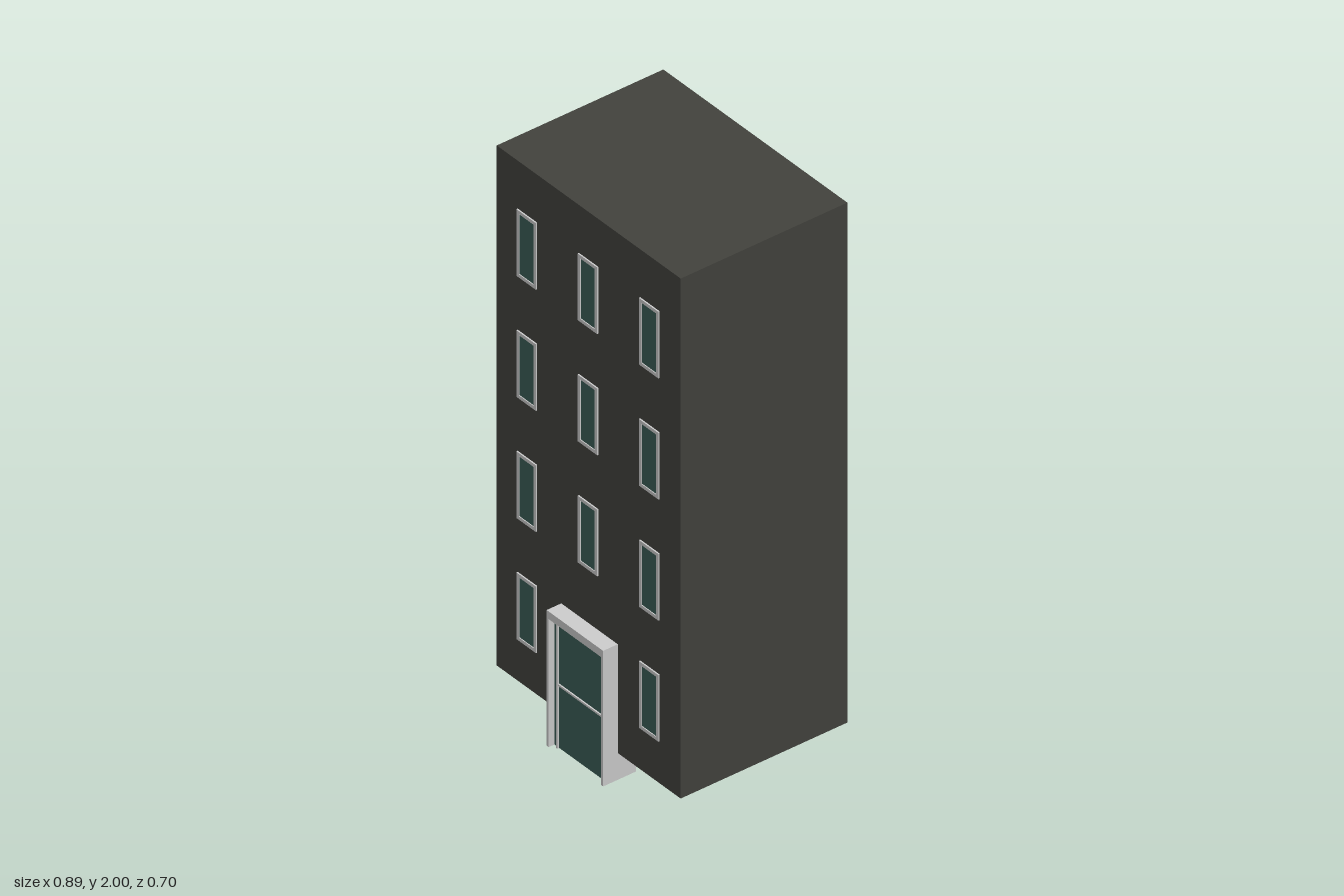
import * as THREE from 'three';

const wallMat = new THREE.MeshStandardMaterial({ color: 0x42423d });
const frameMat = new THREE.MeshStandardMaterial({ color: 0xcccccc });
const glassMat = new THREE.MeshStandardMaterial({ color: 0x3b5d56 });

// Box given by its minimum and maximum corners
function box(name, material, [x0, y0, z0], [x1, y1, z1]) {
  const mesh = new THREE.Mesh(new THREE.BoxGeometry(x1 - x0, y1 - y0, z1 - z0), material);
  mesh.position.set((x0 + x1) / 2, (y0 + y1) / 2, (z0 + z1) / 2);
  mesh.name = name;
  return mesh;
}

// Rectangular frame with a hole, standing out along +z
function frameGeometry(w, h, border, depth) {
  const rect = (path, a, b) => path.moveTo(-a, -b).lineTo(a, -b).lineTo(a, b).lineTo(-a, b).closePath();
  const shape = rect(new THREE.Shape(), w / 2, h / 2);
  shape.holes.push(rect(new THREE.Path(), w / 2 - border, h / 2 - border));
  return new THREE.ExtrudeGeometry(shape, { depth, bevelEnabled: false });
}

const W = 0.094, H = 0.244, BORDER = 0.012;

function createWindow(proud) {
  const win = new THREE.Group();
  win.name = 'window';
  const frame = new THREE.Mesh(frameGeometry(W, H, BORDER, proud + 0.01), frameMat);
  frame.position.z = -0.01;
  frame.name = 'windowFrame';
  const a = W / 2 - BORDER, b = H / 2 - BORDER;
  win.add(frame, box('windowGlass', glassMat, [-a, -b, -0.01], [a, b, 0.002]));
  return win;
}

// Porch with jambs, lintel, glazing and glazing bars
function createEntrance() {
  const porch = new THREE.Group();
  porch.name = 'entrance';
  const back = 0.225, front = 0.35, left = -0.132, right = 0.14;
  porch.add(
    box('jamb', frameMat, [left, 0, back], [left + 0.01, 0.47, front]),
    box('jamb', frameMat, [right - 0.01, 0, back], [right, 0.47, front]),
    box('lintel', frameMat, [left, 0.468, back], [right, 0.496, front]),
    box('doorGlass', glassMat, [left + 0.01, 0, 0.322], [right - 0.01, 0.468, 0.328]),
    box('mullion', frameMat, [-0.106, 0, 0.32], [-0.099, 0.468, 0.335]),
    box('crossBar', frameMat, [-0.1, 0.229, 0.32], [right - 0.01, 0.236, 0.333])
  );
  return porch;
}

export function createModel() {
  const building = new THREE.Group();
  building.name = 'building';
  const zFront = 0.294, zBack = -0.343;
  building.add(box('walls', wallMat, [-0.443, 0.098, zBack], [0.443, 2, zFront]));

  // Windows in four floors on both faces, with the door in place of one
  for (let floor = 0; floor < 4; floor++) {
    for (const x of [-0.295, 0, 0.295]) {
      const y = 0.374 + floor * 0.443;
      if (floor > 0 || x !== 0) {
        const frontWindow = createWindow(0.005);
        frontWindow.position.set(x, y, zFront);
        building.add(frontWindow);
      }
      const backWindow = createWindow(0.007);
      backWindow.position.set(x, y, zBack);
      backWindow.rotation.y = Math.PI;
      building.add(backWindow);
    }
  }

  building.add(createEntrance());
  return building;
}
